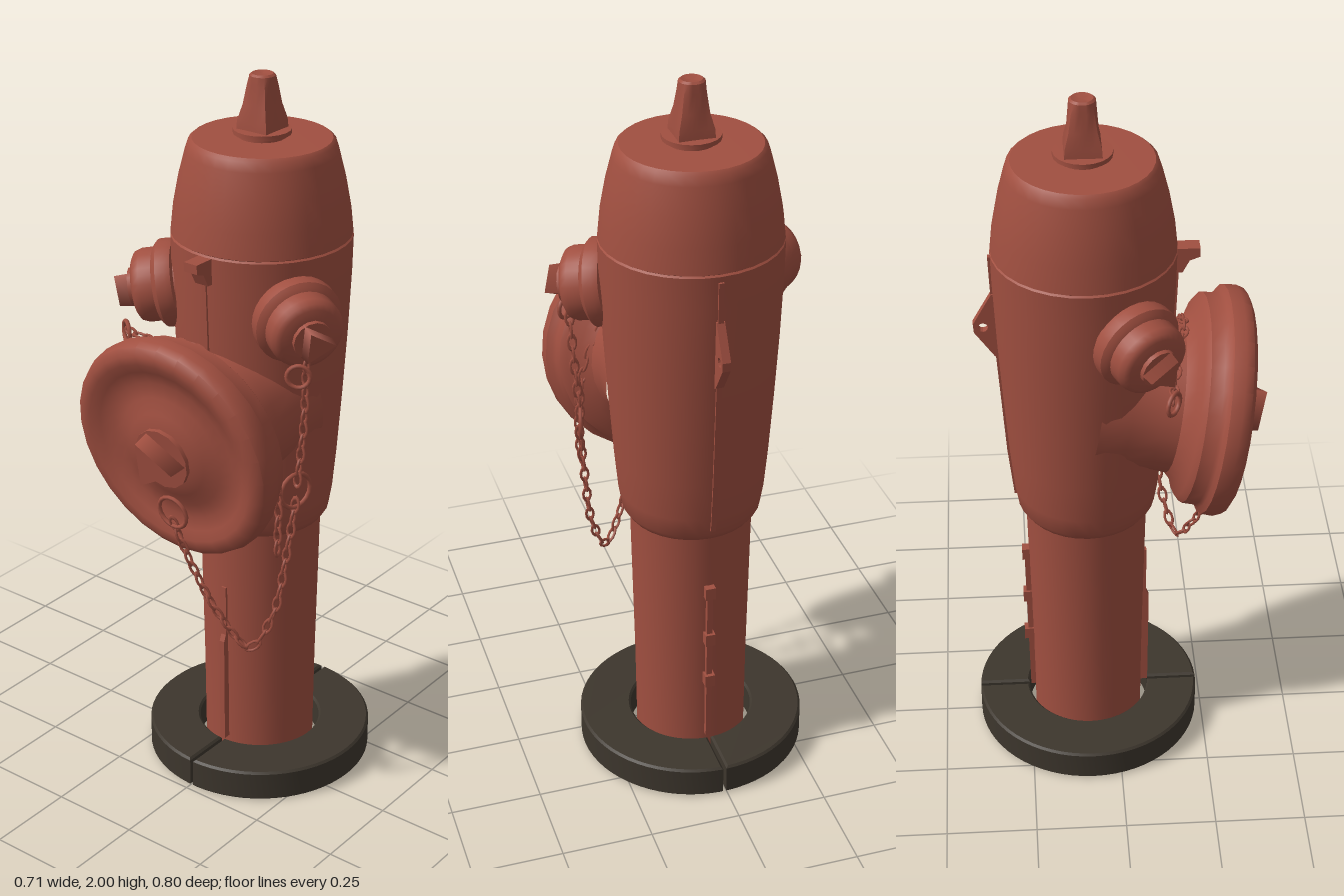
import * as THREE from 'three';
import { mergeGeometries, toCreasedNormals } from 'three/addons/utils/BufferGeometryUtils.js';

const red = new THREE.MeshStandardMaterial({ color: 0xa04f40 });
red.name = 'red paint';
const dark = new THREE.MeshStandardMaterial({ color: 0x3d362d });
dark.name = 'dark base';

const UP = new THREE.Vector3(0, 1, 0);
const V = (x, y, z) => new THREE.Vector3(x, y, z);

function add(parent, name, geometry, material = red) {
  const mesh = new THREE.Mesh(geometry, material);
  mesh.name = name;
  parent.add(mesh);
  return mesh;
}

// Turned part from [radius, height] pairs, bottom to top
function turned(pts, sides = 28, crease = 0.6) {
  const g = new THREE.LatheGeometry(pts.map(([r, y]) => new THREE.Vector2(r, y)), sides);
  return toCreasedNormals(g, crease);
}

// Flat fin standing out from the axis; points are [distance out, height]
function fin(parent, name, pts, thickness, back, hole) {
  const shape = new THREE.Shape(pts.map(([x, y]) => new THREE.Vector2(x, y)));
  if (hole) {
    const path = new THREE.Path();
    path.absarc(hole[0], hole[1], hole[2], 0, Math.PI * 2, true);
    shape.holes.push(path);
  }
  const g = new THREE.ExtrudeGeometry(shape, { depth: thickness, bevelEnabled: false, curveSegments: 6 });
  g.translate(0, 0, -thickness / 2).rotateY(back ? Math.PI / 2 : -Math.PI / 2);
  return add(parent, name, g);
}

// Outlet with its axis along dir, made from a turned profile and a three-sided nut
function outlet(parent, name, origin, dir, profile, nut) {
  const group = new THREE.Group();
  group.name = name;
  group.position.copy(origin);
  group.quaternion.setFromUnitVectors(UP, dir.clone().normalize());
  add(group, name + 'Body', turned(profile, 28, 0.7));
  const plate = new THREE.CylinderGeometry(nut.plate, nut.plate, 0.02, 14);
  add(group, name + 'Plate', plate).position.y = nut.base;
  const tri = new THREE.CylinderGeometry(nut.r * 0.92, nut.r, nut.h, 3);
  tri.rotateY(nut.turn);
  add(group, name + 'Nut', tri).position.y = nut.base + nut.h / 2;
  parent.add(group);
}

// Chain of alternating oval links along a curve
function chain(parent, name, points) {
  const curve = new THREE.CatmullRomCurve3(points);
  const n = Math.round(curve.getLength() / 0.037);
  const links = [];
  for (let i = 0; i <= n; i++) {
    const g = new THREE.TorusGeometry(0.011, 0.0038, 5, 10);
    g.scale(1.9, 1, 1).rotateX(i % 2 ? Math.PI / 2 : 0);
    const q = new THREE.Quaternion().setFromUnitVectors(V(1, 0, 0), curve.getTangentAt(i / n));
    g.applyQuaternion(q);
    const p = curve.getPointAt(i / n);
    links.push(g.translate(p.x, p.y, p.z));
  }
  add(parent, name, mergeGeometries(links));
}

// Operating nut: square at the foot, blending to a round tip
function operatingNut() {
  const levels = [[0.048, 1.85, 0], [0.046, 1.88, 0], [0.04, 1.92, 0.35], [0.036, 1.97, 0.7], [0.034, 1.995, 1], [0.028, 2, 1], [0.014, 1.996, 1], [0, 1.996, 1]];
  const sides = 24, pos = [], idx = [];
  levels.forEach(([r, y, round]) => {
    for (let i = 0; i < sides; i++) {
      const a = (i / sides) * Math.PI * 2, c = Math.cos(a), s = Math.sin(a);
      const k = r * THREE.MathUtils.lerp(1 / Math.max(Math.abs(c), Math.abs(s)), 1, round);
      pos.push(k * s, y, k * c);
    }
  });
  for (let l = 0; l < levels.length - 1; l++) {
    for (let i = 0; i < sides; i++) {
      const a = l * sides + i, b = l * sides + (i + 1) % sides;
      idx.push(a, b, b + sides, a, b + sides, a + sides);
    }
  }
  const g = new THREE.BufferGeometry();
  g.setAttribute('position', new THREE.Float32BufferAttribute(pos, 3));
  g.setIndex(idx);
  return toCreasedNormals(g, 0.6);
}

export function createModel() {
  const model = new THREE.Group();
  model.name = 'hydrant';

  // Everything turned about the upright axis
  const column = new THREE.Group();
  column.name = 'column';
  column.position.set(0.007, 0, -0.081);
  model.add(column);

  // Split base collar
  const half = new THREE.Shape();
  half.absarc(0, 0, 0.316, -Math.PI / 2 + 0.015, Math.PI / 2 - 0.015, false);
  half.absarc(0, 0, 0.172, Math.PI / 2 - 0.028, -Math.PI / 2 + 0.028, true);
  for (const side of [0, 1]) {
    const g = new THREE.ExtrudeGeometry(half, {
      depth: 0.078, curveSegments: 16, bevelThickness: 0.006, bevelSize: 0.006, bevelOffset: -0.006, bevelSegments: 1,
    });
    g.translate(0, 0, 0.006).rotateX(-Math.PI / 2).rotateY(side * Math.PI);
    add(column, side ? 'baseCollarRight' : 'baseCollarLeft', toCreasedNormals(g, 0.5), dark);
  }

  // Standpipe, barrel and bonnet
  add(column, 'standpipe', turned([[0, 0.004], [0.154, 0.004], [0.157, 0.3], [0.167, 0.8]]));
  add(column, 'barrel', turned([
    [0.16, 0.755], [0.172, 0.762], [0.188, 0.785], [0.197, 0.84], [0.207, 0.95], [0.219, 1.12],
    [0.23, 1.3], [0.238, 1.48], [0.24, 1.575], [0.232, 1.582],
  ], 32));
  add(column, 'bonnet', turned([
    [0.23, 1.576], [0.239, 1.582], [0.232, 1.65], [0.217, 1.73], [0.199, 1.8], [0.191, 1.825], [0.182, 1.833], [0, 1.835],
  ], 32, 0.7));
  add(column, 'nutFlange', turned([[0.062, 1.832], [0.062, 1.842], [0.076, 1.844], [0.076, 1.856], [0, 1.858]], 20));
  add(column, 'operatingNut', operatingNut());

  // Casting ribs and lugs
  fin(column, 'frontRib', [[0.13, 0.09], [0.174, 0.09], [0.176, 0.41], [0.168, 0.43], [0.168, 0.58], [0.13, 0.58]], 0.016, false);
  fin(column, 'backRib', [[0.13, 0.09], [0.168, 0.09], [0.176, 0.6], [0.13, 0.6]], 0.016, true);
  for (const y of [0.29, 0.43, 0.585]) {
    fin(column, 'backRibClip', [[0.14, y - 0.018], [0.182, y - 0.018], [0.182, y + 0.018], [0.14, y + 0.018]], 0.028, true);
  }
  fin(column, 'barrelSeam', [[0.16, 0.8], [0.197, 0.8], [0.213, 0.95], [0.236, 1.3], [0.246, 1.56], [0.16, 1.56]], 0.014, true);
  fin(column, 'frontSeam', [[0.2, 1.3], [0.236, 1.3], [0.246, 1.56], [0.2, 1.56]], 0.012, false);
  fin(column, 'backLug', [[0.2, 1.24], [0.236, 1.26], [0.288, 1.335], [0.29, 1.36], [0.24, 1.45], [0.2, 1.45]], 0.022, true, [0.264, 1.35, 0.013]);
  fin(column, 'frontLug', [[0.2, 1.505], [0.252, 1.505], [0.27, 1.54], [0.297, 1.55], [0.297, 1.575], [0.2, 1.575]], 0.042, false);

  // Large front outlet with dished cap, tilted slightly down
  outlet(model, 'frontOutlet', V(0.007, 1.08, 0.32), V(0, -0.155, 0.988), [
    [0.225, -0.38], [0.208, -0.3], [0.202, -0.22], [0.208, -0.17], [0.235, -0.145], [0.268, -0.135], [0.285, -0.12],
    [0.287, -0.085], [0.295, -0.075], [0.31, -0.066], [0.313, -0.035], [0.305, -0.012], [0.285, 0], [0.262, 0],
    [0.235, -0.012], [0.2, -0.022], [0.16, -0.016], [0.12, 0], [0.085, 0.012], [0, 0.014],
  ], { plate: 0.085, base: 0.014, r: 0.08, h: 0.06, turn: Math.PI / 2 });

  // Pair of smaller side outlets
  for (const s of [1, -1]) {
    const name = s > 0 ? 'leftOutlet' : 'rightOutlet';
    outlet(model, name, V(0.003 + s * 0.328, 1.395, 0.11), V(s * 0.85, -0.17, 0.5), [
      [0.14, -0.31], [0.115, -0.25], [0.102, -0.2], [0.102, -0.17], [0.114, -0.165], [0.118, -0.15], [0.118, -0.125],
      [0.108, -0.115], [0.099, -0.11], [0.099, -0.075], [0.093, -0.058], [0.08, -0.05], [0.05, -0.046], [0, -0.046],
    ], { plate: 0.052, base: -0.044, r: 0.054, h: 0.046, turn: s > 0 ? 0.5 : -0.5 });
  }

  // Chains and their rings
  chain(model, 'capChain', [
    V(0.02, 0.88, 0.31), V(0.05, 0.76, 0.28), V(0.11, 0.6, 0.235), V(0.175, 0.5, 0.185), V(0.225, 0.6, 0.15), V(0.25, 0.78, 0.125), V(0.265, 0.93, 0.11),
  ]);
  chain(model, 'leftChain', [V(0.265, 1, 0.1), V(0.278, 1.15, 0.095), V(0.288, 1.33, 0.1)]);
  chain(model, 'rightChain', [
    V(-0.27, 1.29, 0.13), V(-0.2, 1.29, 0.14), V(-0.12, 1.31, 0.155), V(0, 1.33, 0.18), V(0.13, 1.27, 0.18), V(0.22, 1.13, 0.17),
    V(0.25, 0.98, 0.165), V(0.25, 0.82, 0.165),
  ]);
  const rings = [
    [0.02, 0.915, 0.315, 0.045, 0.15, 0], [0.262, 0.97, 0.105, 0.048, 0, 1.3],
    [0.285, 1.31, 0.13, 0.03, 0, 0.6], [-0.285, 1.285, 0.13, 0.03, 0, -0.6],
  ];
  for (const [x, y, z, r, rx, ry] of rings) {
    const ring = add(model, 'chainRing', new THREE.TorusGeometry(r, 0.006, 6, 18));
    ring.position.set(x, y, z);
    ring.rotation.set(rx, ry, 0);
  }
  return model;
}
